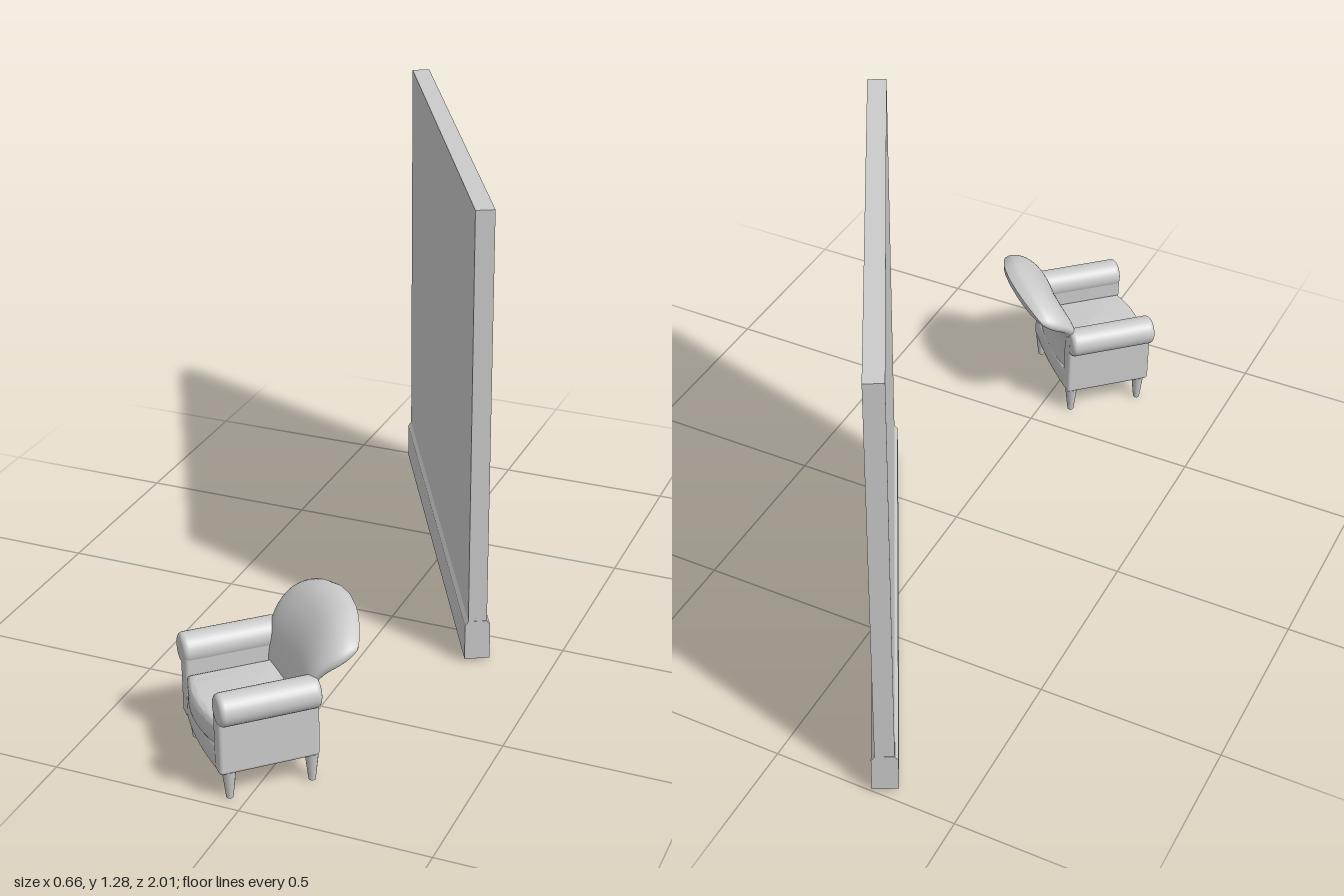
import * as THREE from 'three';
import { RoundedBoxGeometry } from 'three/addons/geometries/RoundedBoxGeometry.js';
import { toCreasedNormals } from 'three/addons/utils/BufferGeometryUtils.js';

const material = new THREE.MeshStandardMaterial({ color: 0xcccccc });

function add(parent, name, geometry, x = 0, y = 0, z = 0) {
  const mesh = new THREE.Mesh(geometry, material);
  mesh.name = name;
  mesh.position.set(x, y, z);
  parent.add(mesh);
  return mesh;
}

// Upholstered slab: plan outline with bowed front and back, extruded from y0 to y1
function bowedSlab(w, zBack, zFront, bowBack, bowFront, y0, y1, bevel) {
  const hw = w - bevel, b = zBack + bevel, f = zFront - bevel;
  const s = new THREE.Shape();
  s.moveTo(-hw, b);
  s.quadraticCurveTo(0, b - 2 * bowBack, hw, b);
  s.lineTo(hw, f);
  s.quadraticCurveTo(0, f + 2 * bowFront, -hw, f);
  s.closePath();
  const g = new THREE.ExtrudeGeometry(s, {
    depth: y1 - y0 - 2 * bevel, bevelEnabled: true, bevelSize: bevel,
    bevelThickness: bevel, bevelSegments: 5, curveSegments: 16,
  });
  g.rotateX(Math.PI / 2);
  g.translate(0, y1 - bevel, 0);
  return toCreasedNormals(g, 0.7);
}

// Backrest: rounded sections swept up a spine that curls backward and flares
function backrestGeometry() {
  const spine = new THREE.CatmullRomCurve3([
    [0.076, -0.108], [0.15, -0.108], [0.22, -0.11], [0.28, -0.125],
    [0.335, -0.158], [0.38, -0.205], [0.414, -0.262],
  ].map(([y, z]) => new THREE.Vector3(0, y, z)));
  const rows = 32, cols = 48, pos = [], index = [];
  const power = (c, e) => Math.sign(c) * Math.abs(c) ** e;
  for (let j = 0; j <= rows; j++) {
    const v = j / rows;
    const p = spine.getPoint(v), tan = spine.getTangent(v);
    const flare = THREE.MathUtils.smoothstep(v, 0.35, 0.95);
    const tip = Math.sqrt(Math.max(0, 1 - Math.max(0, (v - 0.78) / 0.22) ** 2));
    const w = (0.146 + 0.042 * flare) * (0.9 + 0.1 * tip);
    const t = (j === 0 ? 0 : 0.022 + 0.014 * flare) * tip;
    for (let i = 0; i < cols; i++) {
      const a = (i / cols) * Math.PI * 2;
      const u = power(Math.cos(a), 0.55), n = t * power(Math.sin(a), 0.85);
      // edges droop and wrap forward
      pos.push(w * u,
        p.y - tan.z * n - 0.045 * flare * u * u,
        p.z + tan.y * n + (0.014 + 0.026 * flare) * u * u);
    }
  }
  for (let j = 0; j < rows; j++) for (let i = 0; i < cols; i++) {
    const a = j * cols + i, b = j * cols + (i + 1) % cols;
    index.push(a, a + cols, b, b, a + cols, b + cols);
  }
  const g = new THREE.BufferGeometry();
  g.setAttribute('position', new THREE.Float32BufferAttribute(pos, 3));
  g.setIndex(index);
  g.computeVertexNormals();
  return g;
}

// Rolled arm: cylinder with softened ends, lying along z
function armRollGeometry(radius, length, round) {
  const pts = [];
  const h = length / 2;
  for (let i = 0; i <= 6; i++) {
    const a = (i / 6) * Math.PI / 2;
    pts.push(new THREE.Vector2(radius - round + round * Math.sin(a), -h + round - round * Math.cos(a)));
  }
  const mirrored = pts.map(p => new THREE.Vector2(p.x, -p.y)).reverse();
  const profile = [new THREE.Vector2(0, -h), ...pts, ...mirrored, new THREE.Vector2(0, h)];
  return new THREE.LatheGeometry(profile, 32).rotateX(Math.PI / 2);
}

function createArmchair() {
  const chair = new THREE.Group();
  chair.name = 'armchair';
  add(chair, 'seatBase', bowedSlab(0.155, -0.122, 0.128, 0.008, 0.012, 0.072, 0.14, 0.006));
  add(chair, 'seatCushion', bowedSlab(0.116, -0.11, 0.135, 0, 0.014, 0.128, 0.206, 0.02));
  add(chair, 'backrest', backrestGeometry());
  for (const side of [-1, 1]) {
    const arm = new THREE.Group();
    arm.name = side > 0 ? 'leftArm' : 'rightArm';
    chair.add(arm);
    add(arm, 'armPanel', new RoundedBoxGeometry(0.046, 0.205, 0.258, 4, 0.01), side * 0.137, 0.1755, 0.005);
    add(arm, 'armRoll', armRollGeometry(0.042, 0.258, 0.014), side * 0.153, 0.257, 0.007);
    // Tapered legs
    for (const z of [-0.106, 0.106]) {
      const name = (z > 0 ? 'front' : 'back') + (side > 0 ? 'Left' : 'Right') + 'Leg';
      add(chair, name, new THREE.CylinderGeometry(0.018, 0.009, 0.078, 16), side * 0.143, 0.039, z);
    }
  }
  return chair;
}

// Wall panel standing on a thicker skirting with a chamfered top
function createWall() {
  const wall = new THREE.Group();
  wall.name = 'wall';
  const length = 1.275;
  add(wall, 'wallPanel', new THREE.BoxGeometry(0.05, 1.175, length), 0, 0.6975, 0);
  const s = new THREE.Shape([
    [-0.034, 0.01], [0.034, 0.01], [0.034, 0.112], [0.025, 0.125], [-0.025, 0.125], [-0.034, 0.112],
  ].map(([x, y]) => new THREE.Vector2(x, y)));
  const skirting = new THREE.ExtrudeGeometry(s, { depth: length + 0.002, bevelEnabled: false });
  add(wall, 'skirting', skirting, 0, 0, -length / 2 - 0.001);
  return wall;
}

export function createModel() {
  const model = new THREE.Group();
  const wall = createWall();
  wall.position.set(0, 0, -0.423);
  wall.rotation.y = 0.492;
  const chair = createArmchair();
  chair.position.set(-0.065, 0, 0.777);
  chair.rotation.y = -0.82;
  model.add(wall, chair);
  return model;
}
